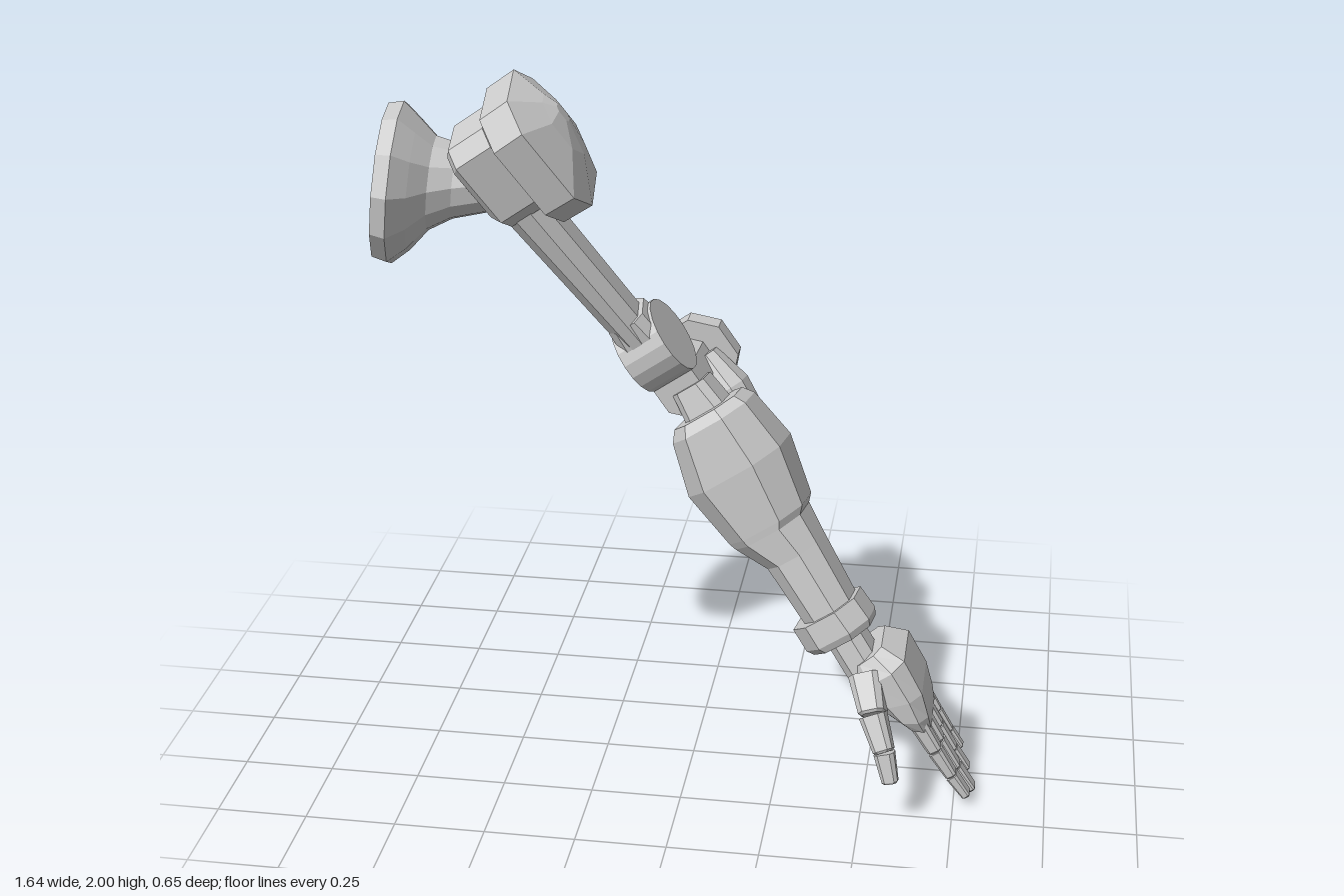
import * as THREE from 'three';

const V = (x, y, z) => new THREE.Vector3(x, y, z);
const grey = new THREE.MeshStandardMaterial({ color: 0xcccccc, flatShading: true, side: THREE.DoubleSide });

function add(parent, name, geometry) {
  const mesh = new THREE.Mesh(geometry, grey);
  mesh.name = name;
  parent.add(mesh);
  return mesh;
}

// Closed skin over rings that share a point count; faces are turned outward.
function loft(rings) {
  const n = rings[0].length, pts = rings.flat(), tris = [];
  for (let r = 0; r < rings.length - 1; r++) {
    for (let i = 0; i < n; i++) {
      const a = r * n + i, b = r * n + (i + 1) % n;
      tris.push([a, b, a + n], [b, b + n, a + n]);
    }
  }
  const last = (rings.length - 1) * n;
  for (let i = 1; i < n - 1; i++) tris.push([0, i + 1, i], [last, last + i, last + i + 1]);
  const centre = pts.reduce((s, p) => s.add(p), V(0, 0, 0)).divideScalar(pts.length);
  const q = pts.map(p => p.clone().sub(centre));
  let volume = 0;
  for (const [a, b, c] of tris) volume += q[a].dot(q[b].clone().cross(q[c]));
  const index = tris.flatMap(([a, b, c]) => (volume < 0 ? [a, c, b] : [a, b, c]));
  const g = new THREE.BufferGeometry().setFromPoints(pts);
  g.setIndex(index);
  const flat = g.toNonIndexed();
  flat.computeVertexNormals();
  return flat;
}

// Chamfered rectangle lying across an axis at distance a.
function ring(axis, a, b0, b1, c0, c1, k) {
  const flat = [[b0 + k, c0], [b1 - k, c0], [b1, c0 + k], [b1, c1 - k],
    [b1 - k, c1], [b0 + k, c1], [b0, c1 - k], [b0, c0 + k]];
  return flat.map(([b, c]) => axis === 'x' ? V(a, b, c) : axis === 'y' ? V(b, a, c) : V(b, c, a));
}
const solid = (axis, rows) => loft(rows.map(r => ring(axis, ...r)));

// Group whose local y runs back along a limb and whose local x points outward.
function limbFrame(name, origin, up) {
  const g = new THREE.Group();
  g.name = name;
  const y = up.normalize();
  const z = V(0.82, 0.57, 0).cross(y).normalize();
  const x = y.clone().cross(z);
  g.quaternion.setFromRotationMatrix(new THREE.Matrix4().makeBasis(x, y, z));
  g.position.copy(origin);
  return g;
}

// One tapered finger bone between two points.
function bone(parent, name, p, q, w0, w1, t0, t1) {
  const dir = q.clone().sub(p), length = dir.length();
  const y = dir.normalize();
  const z = V(0, 0, 1).addScaledVector(y, -y.z).normalize();
  const x = y.clone().cross(z);
  const mesh = add(parent, name, solid('y', [
    [0, -t0, t0, -w0, w0, t0 * 0.4],
    [length * 0.94, -t1, t1, -w1, w1, t1 * 0.4],
    [length, -t1 * 0.75, t1 * 0.75, -w1 * 0.8, w1 * 0.8, t1 * 0.3]]));
  mesh.quaternion.setFromRotationMatrix(new THREE.Matrix4().makeBasis(x, y, z));
  mesh.position.copy(p);
}

export function createModel() {
  const model = new THREE.Group();
  model.name = 'mechanicalArm';

  // Flared, hollow mounting cup: inside first, then round the rim to the neck
  const profile = [[0.0, 0.2], [0.05, 0.14], [0.17, 0.08], [0.19, 0.02], [0.195, 0], [0.205, 0],
    [0.215, 0.04], [0.175, 0.085], [0.125, 0.13], [0.1, 0.19], [0.085, 0.34], [0, 0.34]]
    .map(([r, h]) => new THREE.Vector2(r, h));
  const cup = add(model, 'shoulderCup', new THREE.LatheGeometry(profile, 12));
  cup.quaternion.setFromUnitVectors(V(0, 1, 0), V(1, -0.11, -0.11).normalize());
  cup.position.set(-0.8, 1.71, 0.11);
  const cp = cup.geometry.attributes.position;
  // The neck bends upward away from the rim
  for (let i = 0; i < cp.count; i++) {
    const bend = Math.max(0, cp.getY(i) - 0.08) * 0.22;
    cp.setX(i, cp.getX(i) - bend);
    cp.setZ(i, cp.getZ(i) + bend * 0.3);
  }

  // Shoulder block, cap and upper arm
  const upper = limbFrame('upperArm', V(-0.45, 1.77, 0.1), V(-0.555, 0.805, 0.21));
  model.add(upper);
  add(upper, 'shoulderBlock', solid('x', [
    [-0.11, -0.09, 0.13, -0.09, 0.09, 0.035],
    [-0.09, -0.115, 0.15, -0.11, 0.11, 0.04],
    [0.02, -0.115, 0.15, -0.11, 0.11, 0.04]]));
  add(upper, 'shoulderSpacer', solid('x', [
    [0.01, -0.1, 0.13, -0.09, 0.09, 0.03], [0.05, -0.1, 0.13, -0.09, 0.09, 0.03]]));
  add(upper, 'shoulderCap', solid('x', [
    [0.036, -0.172, 0.178, -0.165, 0.16, 0.07],
    [0.125, -0.175, 0.18, -0.165, 0.16, 0.07],
    [0.172, -0.07, 0.105, -0.07, 0.07, 0.045],
    [0.19, 0.02, 0.07, -0.02, 0.02, 0.01]]));
  add(upper, 'upperArmBar', solid('y', [
    [-0.07, -0.105, 0.005, -0.075, 0.075, 0.032],
    [-0.62, -0.085, 0.005, -0.065, 0.065, 0.03]]));

  // Elbow drum and its sleeve
  const drum = add(upper, 'elbowDrum', new THREE.CylinderGeometry(0.108, 0.108, 0.13, 18));
  drum.rotation.z = -Math.PI / 2;
  drum.position.set(-0.035, -0.655, -0.022);
  add(upper, 'elbowSleeve', solid('y', [
    [-0.53, -0.09, 0.02, -0.07, 0.06, 0.025], [-0.66, -0.1, 0.028, -0.1, 0.07, 0.02]]));

  // Hinge behind the elbow, with a domed cap
  const hinge = new THREE.Group();
  hinge.name = 'elbowHinge';
  hinge.position.set(-0.04, 1.11, 0);
  hinge.rotation.z = 0.607;
  model.add(hinge);
  add(hinge, 'hingeCap', solid('z', [
    [-0.24, -0.122, 0.122, -0.11, 0.11, 0.062],
    [-0.3, -0.122, 0.122, -0.11, 0.11, 0.062],
    [-0.332, -0.04, 0.04, -0.035, 0.035, 0.02]]));
  add(hinge, 'hingePin', solid('z', [
    [-0.03, -0.065, 0.06, -0.06, 0.07, 0.025], [-0.25, -0.065, 0.06, -0.06, 0.06, 0.025]]));

  // Forearm
  const fore = limbFrame('forearm', V(0.04, 1.05, -0.045), V(-0.554, 0.815, -0.17));
  model.add(fore);
  add(fore, 'forearmNeck', solid('y', [
    [0.09, -0.06, 0.04, -0.07, 0.05, 0.02], [-0.03, -0.07, 0.06, -0.07, 0.06, 0.02]]));
  add(fore, 'hingeBracket', solid('y', [
    [0.13, -0.06, 0.05, -0.2, -0.12, 0.02],
    [0.02, -0.085, 0.085, -0.205, -0.08, 0.03],
    [-0.16, -0.08, 0.08, -0.185, -0.08, 0.03]]));
  add(fore, 'forearmShell', solid('y', [
    [0.01, -0.1, 0.095, -0.1, 0.1, 0.05],
    [-0.02, -0.122, 0.115, -0.12, 0.118, 0.06],
    [-0.17, -0.168, 0.13, -0.165, 0.118, 0.07],
    [-0.34, -0.143, 0.095, -0.145, 0.098, 0.06],
    [-0.36, -0.135, 0.076, -0.138, 0.095, 0.055],
    [-0.45, -0.085, 0.074, -0.11, 0.085, 0.045],
    [-0.65, -0.075, 0.068, -0.085, 0.085, 0.04]]));
  add(fore, 'wristCuff', solid('y', [
    [-0.63, -0.112, 0.085, -0.105, 0.1, 0.052],
    [-0.7, -0.112, 0.09, -0.105, 0.1, 0.052],
    [-0.72, -0.1, 0.08, -0.095, 0.09, 0.048]]));
  add(fore, 'wrist', solid('y', [
    [-0.7, -0.055, 0.045, -0.06, 0.06, 0.025], [-0.82, -0.055, 0.045, -0.06, 0.06, 0.025]]));

  // Palm: sections from back of hand (x, y) to inner side (x, y) with half width and chamfer
  const hand = new THREE.Group();
  hand.name = 'hand';
  model.add(hand);
  const palm = [
    [0.535, 0.46, 0.455, 0.39, 0.085],
    [0.6, 0.435, 0.475, 0.345, 0.125],
    [0.652, 0.34, 0.525, 0.295, 0.13],
    [0.672, 0.27, 0.575, 0.26, 0.128],
    [0.68, 0.23, 0.61, 0.235, 0.112]];
  add(hand, 'palm', loft(palm.map(([ox, oy, ix, iy, h]) =>
    [[0, -0.72], [0, 0.72], [0.25, 1], [0.7, 1], [1, 0.72], [1, -0.72], [0.7, -1], [0.25, -1]]
      .map(([k, w]) => V(ox + (ix - ox) * k, oy + (iy - oy) * k, 0.07 + w * h)))));

  // Four fingers of three bones each: side position, length factor, half width
  const path = [V(0.642, 0.25, 0), V(0.7, 0.155, 0), V(0.752, 0.075, 0), V(0.8, 0.01, 0)];
  [[0.155, 0.92, 0.022], [0.088, 1, 0.023], [0.03, 0.88, 0.022], [-0.028, 0.74, 0.017]]
    .forEach(([z, k, w]) => {
      const finger = new THREE.Group();
      finger.name = 'finger';
      hand.add(finger);
      const p = path.map(v => path[0].clone().lerp(v, k).setZ(z));
      for (let i = 0; i < 3; i++) {
        const t = 0.024 - i * 0.004;
        bone(finger, 'fingerBone', p[i], p[i + 1], w, w * 0.94, t, t - 0.004);
      }
    });

  // Thumb
  const thumb = new THREE.Group();
  thumb.name = 'thumb';
  hand.add(thumb);
  const tp = [V(0.5, 0.375, 0.15), V(0.525, 0.3, 0.225), V(0.562, 0.215, 0.275), V(0.583, 0.135, 0.298)];
  [[0.05, 0.036, 0.045, 0.036], [0.034, 0.026, 0.036, 0.028], [0.026, 0.018, 0.028, 0.022]]
    .forEach((s, i) => bone(thumb, 'thumbBone', tp[i], tp[i + 1], ...s));

  return model;
}
